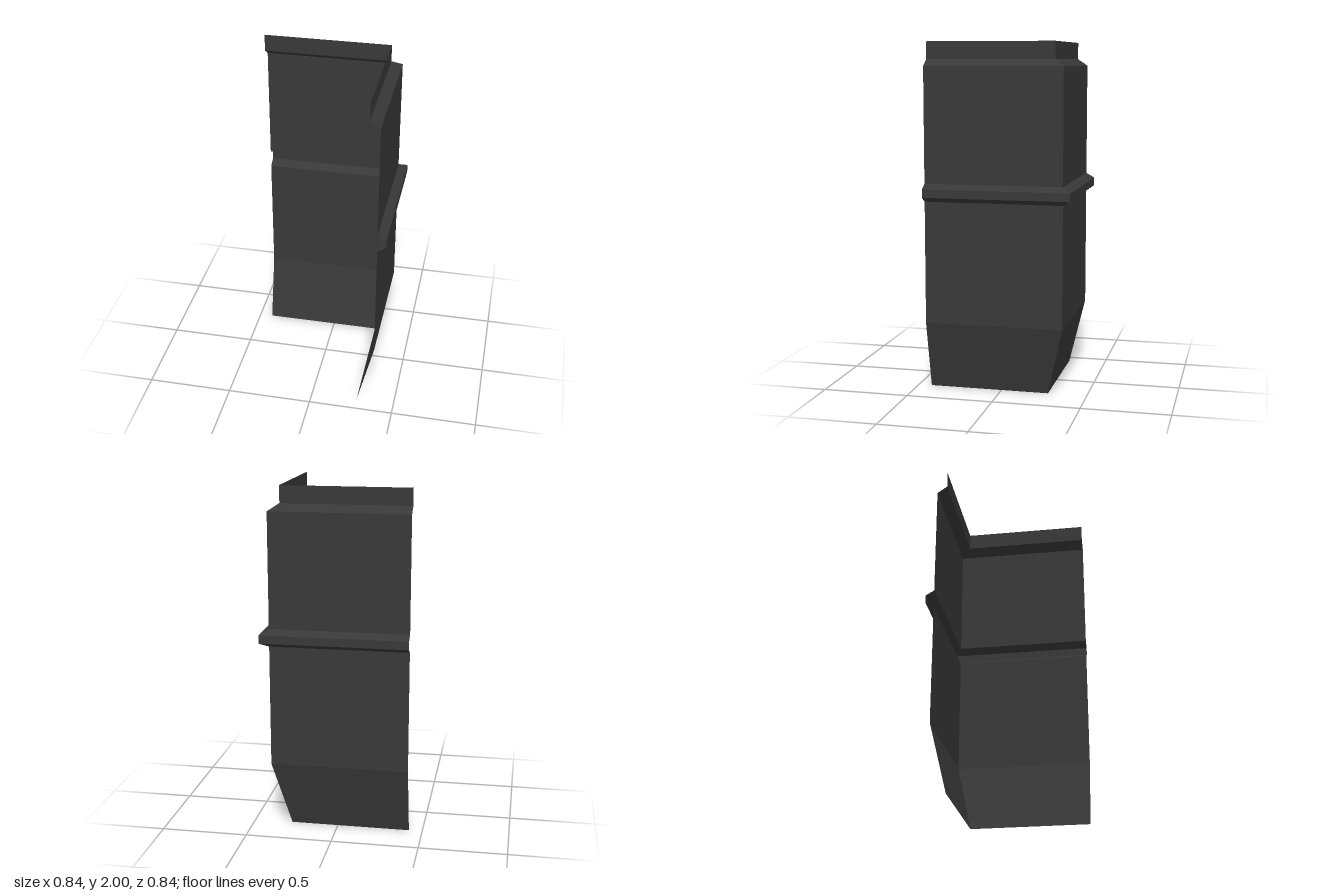
import * as THREE from 'three';

const END = 0.422; // where both wings stop

// Thin folded sheet: each [distance, height] point is swept along the L-shaped corner path
function cornerSheet(profile) {
  const positions = [];
  const pathAt = ([d, y]) => [[d, y, END], [d, y, -d], [-END, y, -d]];
  for (let i = 0; i < profile.length - 1; i++) {
    const low = pathAt(profile[i]);
    const high = pathAt(profile[i + 1]);
    for (let j = 0; j < 2; j++) {
      const [a, b, c, d] = [low[j], low[j + 1], high[j + 1], high[j]];
      positions.push(...a, ...b, ...c, ...a, ...c, ...d);
    }
  }
  const geometry = new THREE.BufferGeometry();
  geometry.setAttribute('position', new THREE.Float32BufferAttribute(positions, 3));
  geometry.computeVertexNormals(); // unshared corners keep every fold crisp
  return geometry;
}

export function createModel() {
  const group = new THREE.Group();
  group.name = 'cornerWall';

  const darkGrey = new THREE.MeshStandardMaterial({ color: 0x383838, side: THREE.DoubleSide });
  darkGrey.name = 'darkGrey';

  // Parts from bottom to top, as [distance from centre, height]
  const parts = {
    slopedSkirt: [[0.275, 0], [0.373, 0.4]],
    lowerPanel: [[0.373, 0.4], [0.373, 1.102]],
    trimRail: [[0.373, 1.102], [0.422, 1.13], [0.422, 1.177], [0.373, 1.205]],
    upperPanel: [[0.373, 1.205], [0.373, 1.863]],
    topLip: [[0.373, 1.863], [0.315, 1.902], [0.315, 2]],
  };
  for (const [name, profile] of Object.entries(parts)) {
    const mesh = new THREE.Mesh(cornerSheet(profile), darkGrey);
    mesh.name = name;
    group.add(mesh);
  }
  return group;
}
